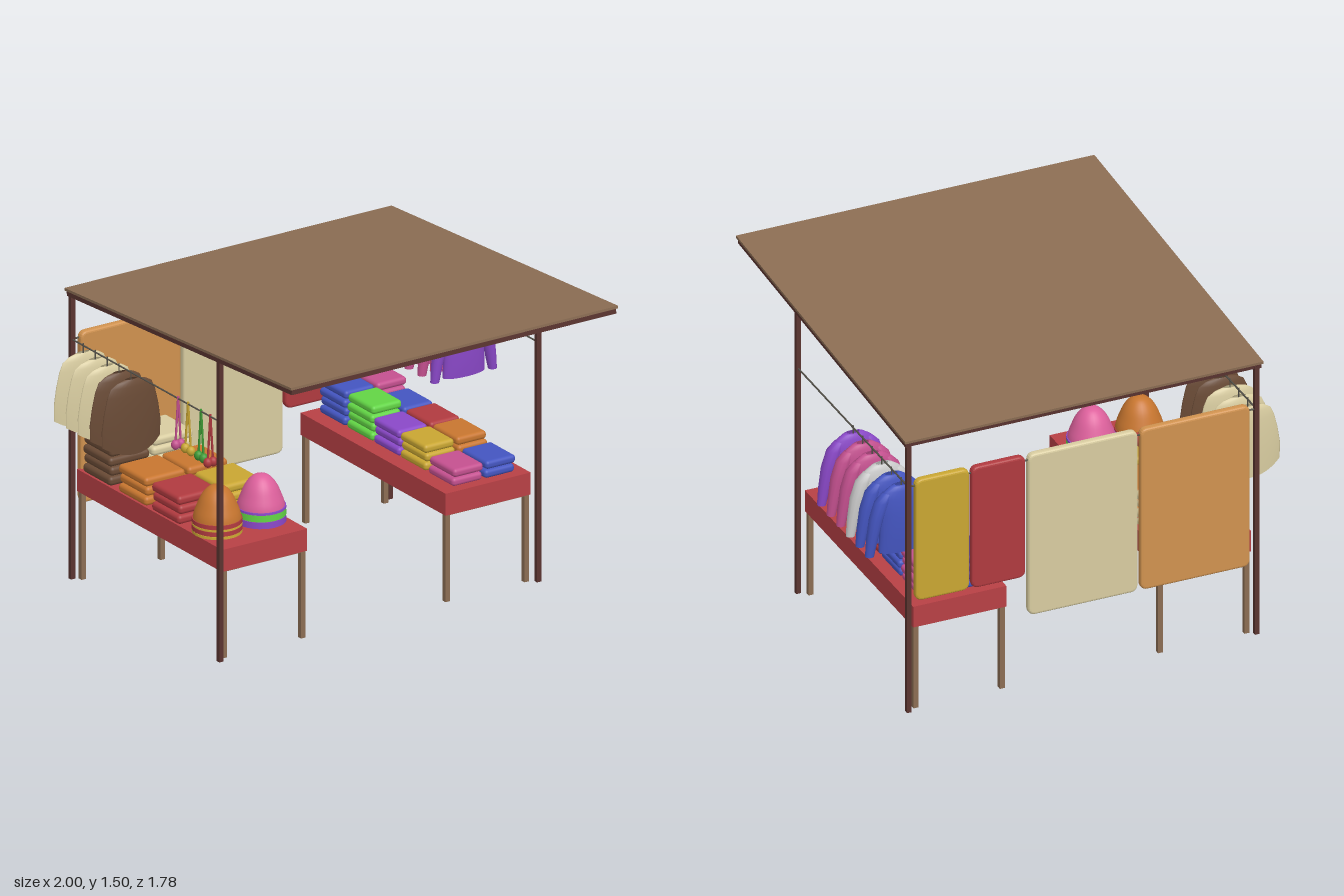
import * as THREE from 'three';
import { RoundedBoxGeometry } from 'three/addons/geometries/RoundedBoxGeometry.js';

const C = {
  frame: 0x5a3430, roof: 0x8b6d53, leg: 0x8b6d53, cloth: 0xb84045, rod: 0x55524a,
  orange: 0xc8762f, cream: 0xd8cca0, red: 0xb03a3f, yellow: 0xc9a632, tan: 0xd0924f,
  purple: 0x8a48c8, pink: 0xc4508f, blue: 0x4455c0, green: 0x62d445, brown: 0x694a35,
  grey: 0xcccccc, hatPink: 0xdd609c, darkGreen: 0x3f9a35,
};
const mats = {};
const mat = (c, double = false) => (mats[c + double] ??= new THREE.MeshStandardMaterial({
  color: C[c], side: double ? THREE.DoubleSide : THREE.FrontSide }));

function add(parent, name, geo, m, x = 0, y = 0, z = 0) {
  const mesh = new THREE.Mesh(geo, m);
  mesh.name = name;
  mesh.position.set(x, y, z);
  parent.add(mesh);
  return mesh;
}
const box = (p, name, c, w, h, d, x, y, z) => add(p, name, new THREE.BoxGeometry(w, h, d), mat(c), x, y, z);

// Thin round bar between two points
function bar(p, name, c, r, a, b) {
  const A = new THREE.Vector3(...a), B = new THREE.Vector3(...b);
  const m = add(p, name, new THREE.CylinderGeometry(r, r, A.distanceTo(B), 6), mat(c));
  m.position.copy(A).add(B).multiplyScalar(0.5);
  m.quaternion.setFromUnitVectors(new THREE.Vector3(0, 1, 0), B.sub(A).normalize());
  return m;
}

// Skin over stacked rings [y, centreX, halfWidth, halfDepth, edgeRise]; pinch > 1 sharpens the sides
function loft(rings, n = 24, pinch = 1) {
  const pos = [], idx = [];
  rings.forEach(([y, cx, a, b, rise = 0]) => {
    for (let j = 0; j < n; j++) {
      const t = (j / n) * Math.PI * 2, c = Math.cos(t), s = Math.sin(t);
      pos.push(cx + a * c, y + rise * c * c, b * Math.sign(s) * Math.abs(s) ** pinch);
    }
  });
  for (let i = 0; i < rings.length - 1; i++) for (let j = 0; j < n; j++) {
    const k = (j + 1) % n, a = i * n + j, b = i * n + k, c = a + n, d = b + n;
    idx.push(a, c, b, b, c, d);
  }
  const g = new THREE.BufferGeometry();
  g.setAttribute('position', new THREE.Float32BufferAttribute(pos, 3));
  g.setIndex(idx);
  g.computeVertexNormals();
  return g;
}

const XL = -0.845, XR = 0.83, XM = -0.008;

function buildFrame(g) {
  const slope = 0.07, roofY = z => 1.427 + slope * z;
  for (const x of [XL, XR]) for (const z of [0.295, -0.87]) {
    const h = roofY(z) - 0.02;
    box(g, 'post', 'frame', 0.022, h, 0.022, x, h / 2, z);
  }
  // Sloping roof with beams below it
  const roof = new THREE.Group();
  roof.name = 'roof';
  roof.position.set(XM, 1.427, 0);
  roof.rotation.x = -Math.atan(slope);
  box(roof, 'roofPanel', 'roof', 1.725, 0.012, 1.784, 0, 0, 0);
  for (const s of [-1, 1]) box(roof, 'sideBeam', 'frame', 0.022, 0.024, 1.77, s * 0.845, -0.018, 0);
  for (const z of [0.875, 0.295, -0.29, -0.87]) box(roof, 'crossBeam', 'frame', 1.71, 0.024, 0.022, 0, -0.018, z);
  g.add(roof);
  // Hanging rods
  for (const x of [XL, XR]) bar(g, 'sideRod', 'rod', 0.004, [x, 1.13, 0.295], [x, 1.13, -0.87]);
  bar(g, 'backRod', 'rod', 0.004, [XL, 1.13, -0.87], [XR, 1.13, -0.87]);
}

function buildTable(g, x) {
  const t = new THREE.Group();
  t.name = 'table';
  t.position.set(x, 0, -0.29);
  box(t, 'tableCloth', 'cloth', 0.448, 0.104, 1.14, 0, 0.463, 0);
  box(t, 'tableUnderside', 'leg', 0.435, 0.006, 1.125, 0, 0.409, 0);
  for (const sx of [-1, 1]) for (const sz of [-1, 1])
    box(t, 'tableLeg', 'leg', 0.024, 0.41, 0.024, sx * 0.208, 0.205, sz * 0.552);
  g.add(t);
}

// Pile of folded cloth
function stack(g, c, layers, x, z, w, d, h = 0.041) {
  const geo = new RoundedBoxGeometry(w, h * 0.95, d, 3, h * 0.4);
  for (let i = 0; i < layers; i++)
    add(g, 'foldedCloth', geo, mat(c), x + (i % 2 ? 0.003 : -0.003), 0.515 + h * (i + 0.5), z);
}

// Blanket hung on the back rod: rounded outline with soft edges
function blanket(g, c, x0, x1, y0, y1) {
  const b = 0.012, w = (x1 - x0) / 2 - b, h = (y1 - y0) / 2 - b, r = 0.022;
  const s = new THREE.Shape();
  s.moveTo(-w + r, -h);
  s.lineTo(w - r, -h); s.quadraticCurveTo(w, -h, w, -h + r);
  s.lineTo(w, h - r); s.quadraticCurveTo(w, h, w - r, h);
  s.lineTo(-w + r, h); s.quadraticCurveTo(-w, h, -w, h - r);
  s.lineTo(-w, -h + r); s.quadraticCurveTo(-w, -h, -w + r, -h);
  const geo = new THREE.ExtrudeGeometry(s, { depth: 0.014, bevelSize: b, bevelThickness: b, bevelSegments: 3, curveSegments: 5 });
  add(g, 'hangingBlanket', geo, mat(c), (x0 + x1) / 2, (y0 + y1) / 2, -0.873);
}

const hook = (p) => bar(p, 'hangerHook', 'rod', 0.003, [0, 1.09, 0], [0, 1.14, 0]);

function shirt(g, c, z) {
  const s = new THREE.Group();
  s.name = 'shirt';
  s.position.set(XR, 0, z);
  const body = [[0.785, 0, 0.108, 0.036], [0.87, 0, 0.105, 0.043], [0.98, 0, 0.102, 0.043],
    [1.05, 0, 0.1, 0.036], [1.085, 0, 0.08, 0.028], [1.105, 0, 0.048, 0.022], [1.108, 0, 0.03, 0.014]];
  add(s, 'shirtBody', loft(body), mat(c, true));
  for (const k of [-1, 1]) {
    const sleeve = [[0.778, 0.152, 0.02, 0.02], [0.86, 0.14, 0.026, 0.026], [0.96, 0.12, 0.032, 0.032],
      [1.04, 0.092, 0.034, 0.032], [1.075, 0.07, 0.022, 0.022], [1.085, 0.065, 0.001, 0.001]];
    add(s, 'sleeve', loft(sleeve.map(([y, x, a, b]) => [y, k * x, a, b]), 12), mat(c, true));
  }
  hook(s);
  g.add(s);
}

function poncho(g, c, z) {
  const p = new THREE.Group();
  p.name = 'poncho';
  p.position.set(XL, 0, z);
  const rings = [[0.755, 0, 0.153, 0.036, 0.05], [0.86, 0, 0.155, 0.038, 0.02], [0.96, 0, 0.143, 0.035],
    [1.03, 0, 0.126, 0.03], [1.07, 0, 0.108, 0.024], [1.09, 0, 0.075, 0.018], [1.1, 0, 0.035, 0.012]];
  add(p, 'ponchoBody', loft(rings, 28, 1.7), mat(c, true));
  hook(p);
  g.add(p);
}

// Pair of small rattles hanging from one knot; spread in x or z
function rattles(g, c, z, dx, dz) {
  for (const k of [-1, 1]) {
    const x = XL + k * dx, zz = z + k * dz;
    bar(g, 'rattleHandle', c, 0.005, [XL, 1.14, z], [x, 0.92, zz]);
    add(g, 'rattleHead', new THREE.SphereGeometry(0.02, 14, 10), mat(c), x, 0.915, zz).scale.y = 1.15;
  }
}

function hat(g, x, z, c, bands) {
  const h = new THREE.Group();
  h.name = 'hat';
  h.position.set(x, 0.515, z);
  const profile = [[0.107, 0], [0.109, 0.04], [0.104, 0.085], [0.09, 0.125], [0.073, 0.165], [0.052, 0.195], [0.028, 0.214], [0, 0.22]];
  add(h, 'hatCrown', new THREE.LatheGeometry(
    new THREE.SplineCurve(profile.map(p => new THREE.Vector2(...p))).getPoints(20), 28), mat(c, true));
  bands.forEach(([bc, y, t]) => add(h, 'hatBand',
    new THREE.CylinderGeometry(0.111, 0.112, t, 28), mat(bc), 0, y, 0));
  g.add(h);
}

export function createModel() {
  const g = new THREE.Group();
  g.name = 'clothingStall';
  buildFrame(g);
  buildTable(g, -0.6);
  buildTable(g, 0.578);

  // Right table: five rows of two piles
  [['pink', 'blue', 2, 0.14], ['yellow', 'orange', 3, -0.08], ['purple', 'red', 3, -0.29],
    ['green', 'blue', 4, -0.5], ['blue', 'pink', 4, -0.715]].forEach(([a, b, n, z]) => {
    stack(g, a, n, 0.502, z, 0.158, 0.2);
    stack(g, b, z === -0.5 ? 3 : n, 0.672, z, 0.158, 0.2);
  });
  // Left table: three rows of two piles behind the hats
  [['red', 'yellow', 3, -0.17], ['orange', 'orange', 3, -0.43], ['brown', 'cream', 4, -0.71]].forEach(([a, b, n, z]) => {
    stack(g, a, n, -0.715, z, 0.215, 0.22, 0.045);
    stack(g, b, n, -0.49, z, 0.21, 0.22, 0.045);
  });
  hat(g, -0.718, 0.082, 'orange', [['yellow', 0.008, 0.012], ['red', 0.026, 0.02], ['yellow', 0.042, 0.008], ['red', 0.058, 0.018]]);
  hat(g, -0.487, 0.082, 'hatPink', [['purple', 0.016, 0.03], ['green', 0.048, 0.03], ['purple', 0.069, 0.01]]);

  blanket(g, 'tan', -0.81, -0.283, 0.352, 1.16);
  blanket(g, 'cream', -0.27, 0.257, 0.352, 1.16);
  blanket(g, 'red', 0.27, 0.53, 0.552, 1.16);
  blanket(g, 'yellow', 0.541, 0.8, 0.552, 1.16);

  ['purple', 'pink', 'pink', 'grey', 'blue', 'blue'].forEach((c, i) => shirt(g, c, -0.288 - i * 0.101));
  ['brown', 'brown', 'cream', 'cream', 'cream'].forEach((c, i) => poncho(g, c, -0.405 - i * 0.094));

  rattles(g, 'red', 0.218, 0.014, 0);
  rattles(g, 'darkGreen', 0.145, 0, 0.02);
  rattles(g, 'yellow', 0.043, 0, 0.022);
  rattles(g, 'pink', -0.035, 0.014, 0);
  return g;
}
